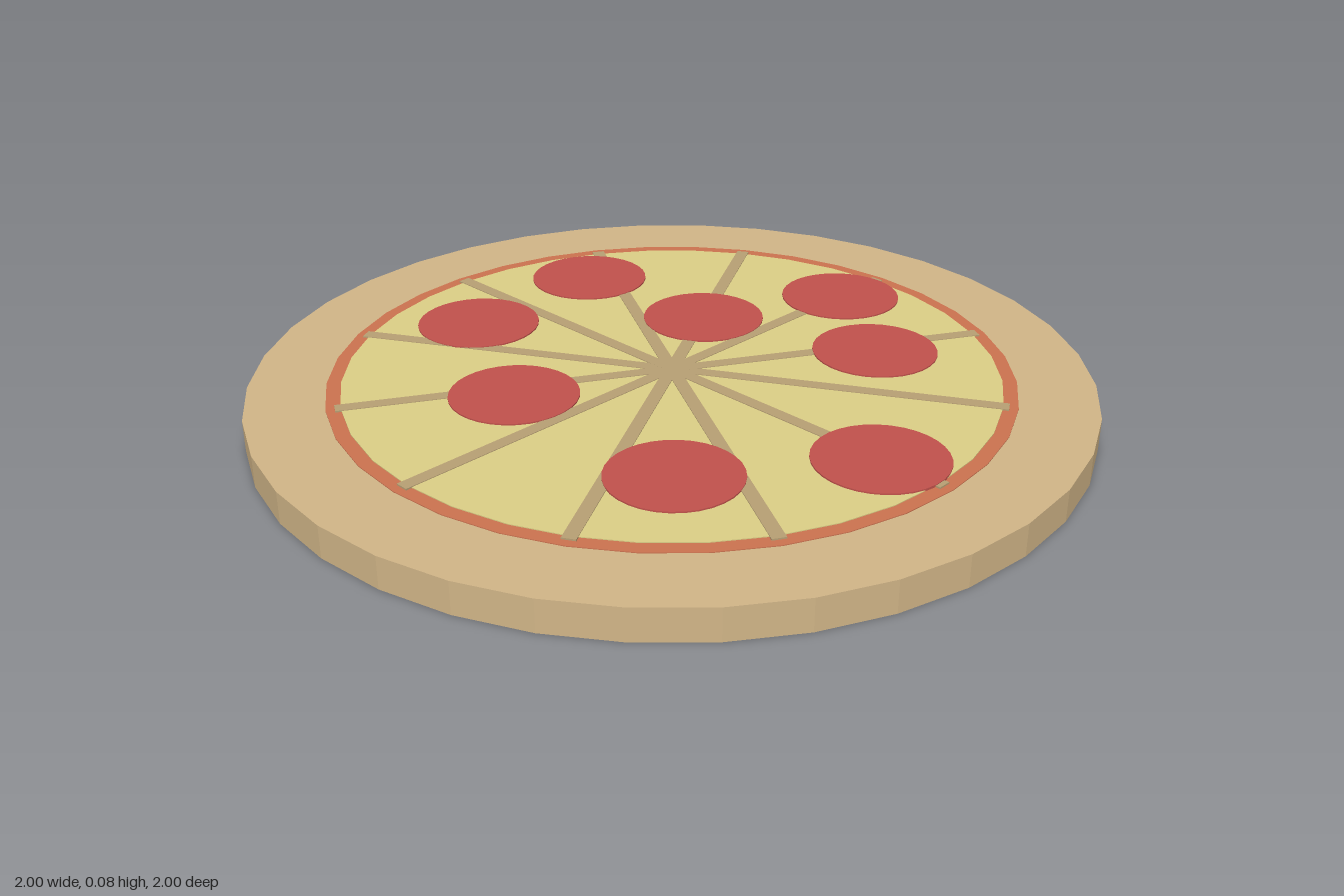
import * as THREE from 'three';

const material = (color) => new THREE.MeshStandardMaterial({ color, flatShading: true });

export function createModel() {
  const pizza = new THREE.Group();
  pizza.name = 'pizza';

  const add = (name, geometry, mat, x, y, z) => {
    const mesh = new THREE.Mesh(geometry, mat);
    mesh.name = name;
    mesh.position.set(x, y, z);
    pizza.add(mesh);
    return mesh;
  };

  // flat disc standing between two heights
  const disc = (name, radius, bottom, top, sides, mat, x = 0, z = 0) =>
    add(name, new THREE.CylinderGeometry(radius, radius, top - bottom, sides), mat, x, (bottom + top) / 2, z);

  // stacked layers
  disc('crust', 1, 0, 0.077, 36, material(0xd2b688));
  disc('sauce', 0.816, 0.06, 0.079, 36, material(0xcc7350));
  disc('cheese', 0.782, 0.06, 0.081, 36, material(0xddd086));

  // six cuts across the centre make twelve slices
  const cutMaterial = material(0xb8a074);
  const cutGeometry = new THREE.BoxGeometry(1.59, 0.02, 0.032);
  for (let i = 0; i < 6; i++) {
    // tiny height steps keep the crossing cuts from sharing one plane
    const cut = add('sliceCut', cutGeometry, cutMaterial, 0, 0.0725 + i * 0.00005, 0);
    cut.rotation.y = (i * Math.PI) / 6;
  }

  // round toppings
  const toppingMaterial = material(0xc2524c);
  const spots = [
    [-0.364, -0.5], [0.318, -0.545], [0, -0.318], [0.455, -0.227],
    [-0.545, -0.136], [-0.318, 0.227], [0.545, 0.318], [0.136, 0.5],
  ];
  for (const [x, z] of spots) disc('topping', 0.153, 0.07, 0.0845, 32, toppingMaterial, x, z);

  return pizza;
}
